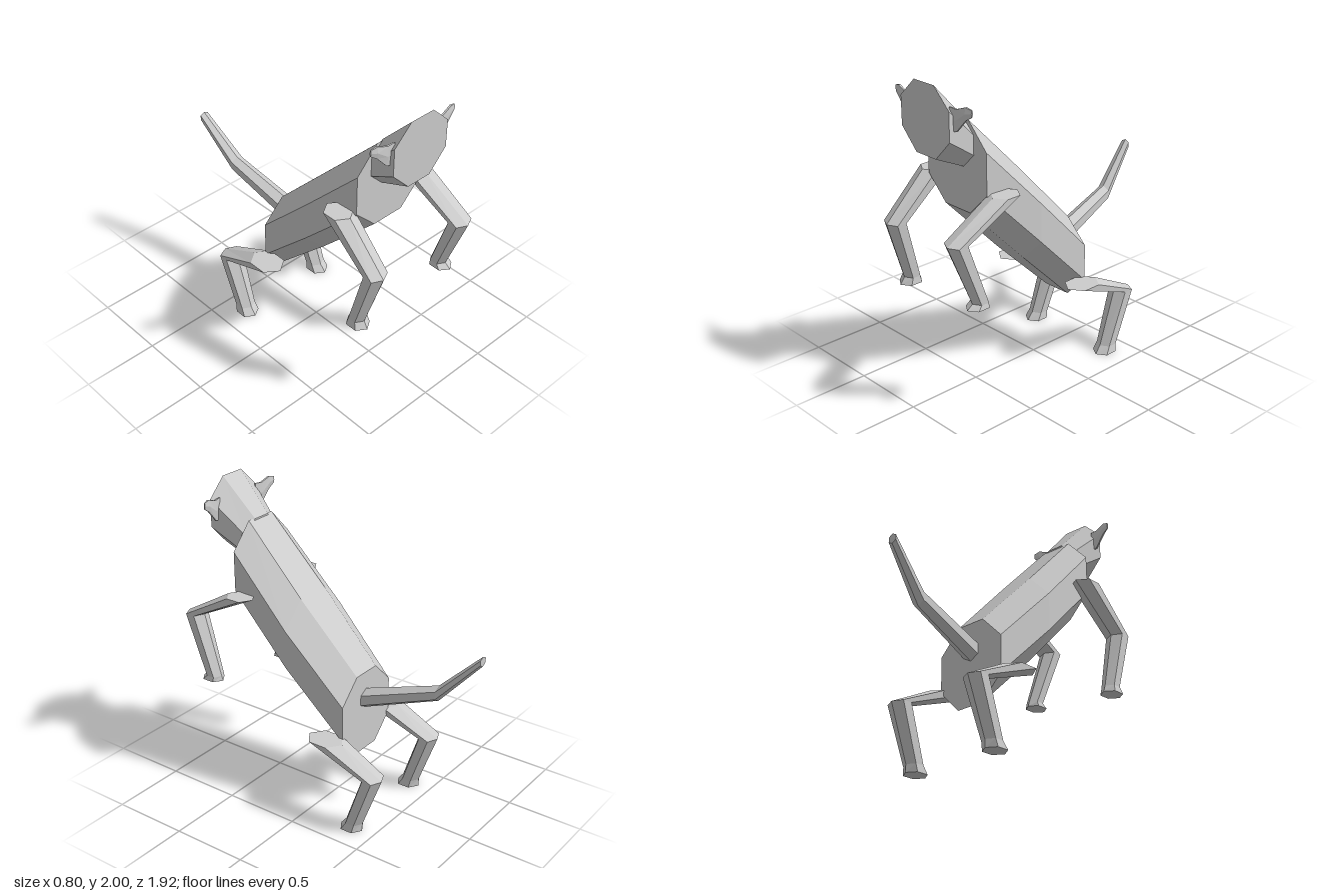
import * as THREE from 'three';

const grey = new THREE.MeshStandardMaterial({ color: 0xcccccc });
grey.name = 'plainGrey';

// Skin a list of counter-clockwise rings with flat facets and close both ends
function loft(name, rings) {
  const pos = [];
  const tri = (...pts) => pts.forEach(p => pos.push(...p));
  const n = rings[0].length;
  for (let r = 0; r < rings.length - 1; r++) {
    const a = rings[r], b = rings[r + 1];
    for (let i = 0; i < n; i++) {
      const j = (i + 1) % n;
      tri(a[i], a[j], b[j]);
      tri(a[i], b[j], b[i]);
    }
  }
  const first = rings[0], last = rings[rings.length - 1];
  for (let i = 1; i < n - 1; i++) {
    tri(first[0], first[i + 1], first[i]);
    tri(last[0], last[i], last[i + 1]);
  }
  const geo = new THREE.BufferGeometry();
  geo.setAttribute('position', new THREE.Float32BufferAttribute(pos, 3));
  geo.computeVertexNormals();
  const mesh = new THREE.Mesh(geo, grey);
  mesh.name = name;
  return mesh;
}

// Upright octagon at depth z: half width, half flat, bottom, lower side, upper side, top
const octagon = ([z, w, f, y0, y1, y2, y3]) => [
  [w, y1, z], [w, y2, z], [f, y3, z], [-f, y3, z],
  [-w, y2, z], [-w, y1, z], [-f, y0, z], [f, y0, z],
];

const hexAngles = Array.from({ length: 6 }, (_, i) => Math.PI / 6 + i * Math.PI / 3);
const C = 2 / Math.sqrt(3);   // makes the flat sides reach the full half width

// Level hexagon for a leg, pointed to front and back
const legRing = (x, y, z, hx, hz) =>
  hexAngles.map(a => [x + Math.cos(a) * hx * C, y, z - Math.sin(a) * hz]);

// Upright hexagon for the tail, pointed up and down
const tailRing = ([x, y, z, hx, hy]) =>
  hexAngles.map(a => [x + Math.cos(a) * hx * C, y + Math.sin(a) * hy, z]);

// Thin sideways section for an ear
const earRing = ([x, y, z, hy, hz]) =>
  hexAngles.map(a => [x, y + Math.cos(a) * hy * C, z + Math.sin(a) * hz]);

// Leg sections run from the foot up: x, y, z, half width, half depth
function leg(name, side, rows) {
  return loft(name, rows.map(([x, ...rest]) => legRing(side * x, ...rest)));
}

export function createModel() {
  const model = new THREE.Group();
  model.name = 'rearingAnimal';

  model.add(loft('body', [
    [-0.21, 0.25, 0.10, 0.38, 0.53, 0.77, 0.92],
    [0.20, 0.28, 0.12, 0.775, 0.93, 1.18, 1.34],
    [0.61, 0.26, 0.11, 1.19, 1.34, 1.60, 1.76],
  ].map(octagon)));

  model.add(loft('head', [
    [0.60, 0.15, 0.06, 1.46, 1.55, 1.67, 1.76],
    [0.83, 0.21, 0.085, 1.57, 1.70, 1.88, 2.00],
  ].map(octagon)));

  model.add(loft('tail', [
    [-0.107, 1.17, -0.96, 0.03, 0.032],
    [-0.058, 0.90, -0.70, 0.045, 0.052],
    [0, 0.735, -0.20, 0.06, 0.067],
  ].map(tailRing)));

  // Ears
  for (const side of [1, -1]) {
    const ear = loft(side > 0 ? 'leftEar' : 'rightEar', [
      [0.17, 1.82, 0.79, 0.07, 0.008],
      [0.22, 1.82, 0.783, 0.065, 0.012],
      [0.29, 1.872, 0.775, 0.038, 0.012],
      [0.33, 1.88, 0.768, 0.02, 0.006],
    ].map(earRing));
    ear.scale.x = side;
    model.add(ear);
  }

  // Front legs, the right one held lower
  model.add(leg('leftFrontLeg', 1, [
    [0.335, 0.72, 0.76, 0.057, 0.08],
    [0.335, 0.75, 0.745, 0.05, 0.055],
    [0.317, 1.145, 0.893, 0.067, 0.065],
    [0.315, 1.345, 0.52, 0.075, 0.095],
  ]));
  model.add(leg('rightFrontLeg', -1, [
    [0.338, 0.63, 0.72, 0.06, 0.08],
    [0.335, 0.675, 0.715, 0.052, 0.055],
    [0.32, 1.065, 0.83, 0.067, 0.065],
    [0.315, 1.345, 0.52, 0.075, 0.095],
  ]));

  // Back legs
  for (const side of [1, -1]) {
    model.add(leg(side > 0 ? 'leftBackLeg' : 'rightBackLeg', side, [
      [0.322, 0, -0.335, 0.062, 0.08],
      [0.32, 0.05, -0.355, 0.055, 0.06],
      [0.315, 0.405, -0.485, 0.07, 0.065],
      [0.31, 0.555, -0.125, 0.087, 0.125],
    ]));
  }
  return model;
}
